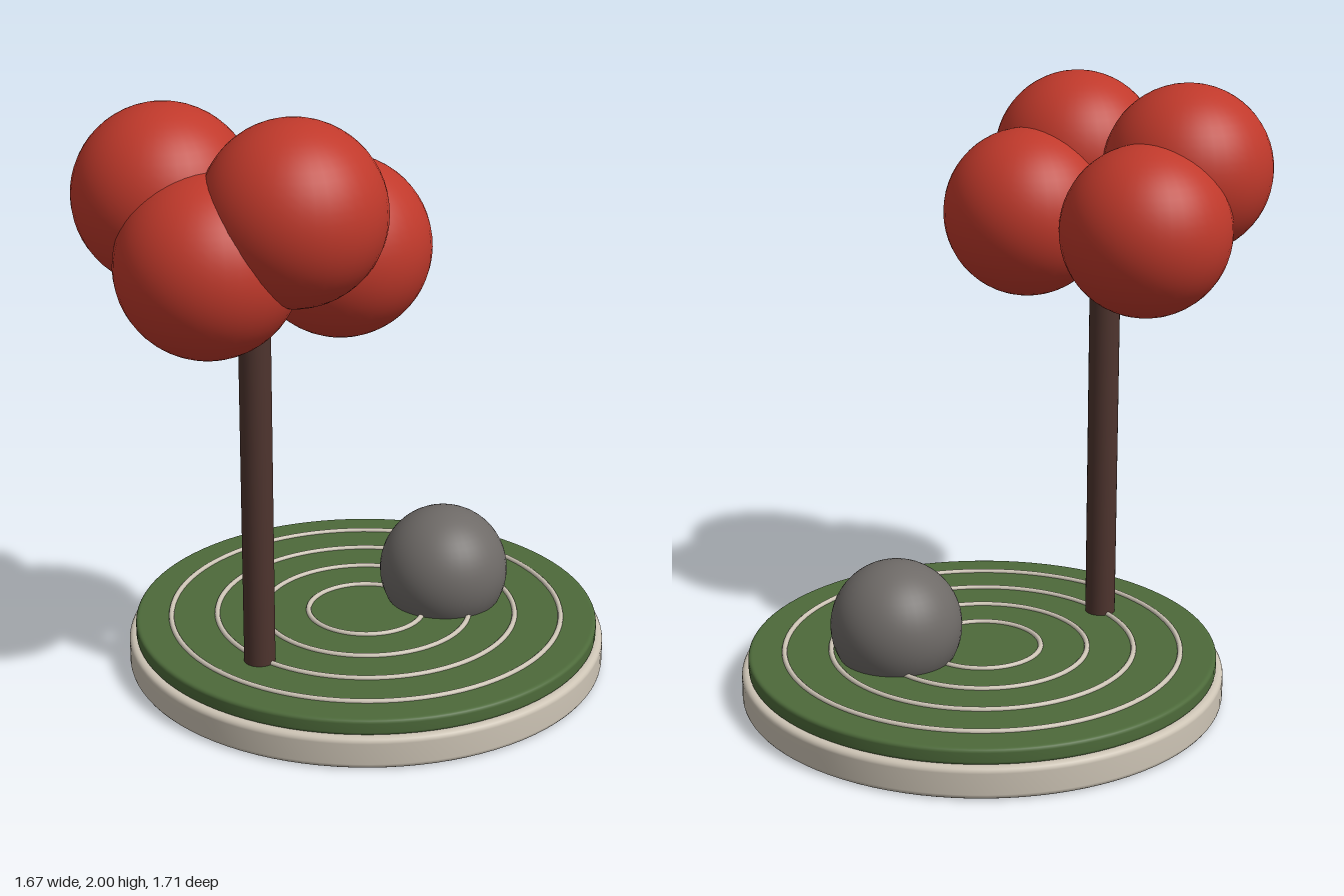
import * as THREE from 'three';

const material = (name, color) => {
  const m = new THREE.MeshStandardMaterial({ color });
  m.name = name;
  return m;
};

export function createModel() {
  const model = new THREE.Group();
  model.name = 'miniatureGarden';
  const stone = material('pale stone', 0xcdc4b5);
  const moss = material('moss green', 0x4d6a3a);
  const bark = material('dark bark', 0x4e342e);
  const leaf = material('red foliage', 0xc0392b);
  const rock = material('grey rock', 0x6e6a67);

  const add = (name, geometry, mat, x, y, z) => {
    const mesh = new THREE.Mesh(geometry, mat);
    mesh.name = name;
    mesh.position.set(x, y, z);
    model.add(mesh);
    return mesh;
  };

  // Round plate with softly rounded rims; extra points keep the faces flat
  const plate = (radius, height, round) => {
    const points = [[0, 0], [radius - round - 0.004, 0]];
    for (let i = 0; i <= 4; i++) {
      const a = (i / 4) * Math.PI / 2;
      points.push([radius - round + Math.sin(a) * round, round - Math.cos(a) * round]);
    }
    for (let i = 0; i <= 4; i++) {
      const a = (i / 4) * Math.PI / 2;
      points.push([radius - round + Math.cos(a) * round, height - round + Math.sin(a) * round]);
    }
    points.push([radius - round - 0.004, height], [0, height]);
    return new THREE.LatheGeometry(points.map(([x, y]) => new THREE.Vector2(x, y)), 96);
  };

  // Tray and moss bed
  const cx = 0.03, cz = -0.053;
  add('tray', plate(0.803, 0.106, 0.018), stone, cx, 0, cz);
  add('mossBed', plate(0.78, 0.054, 0.012), moss, cx, 0.104, cz);

  // Concentric raked rings
  for (let i = 0; i < 4; i++) {
    const ring = add('rakedRing' + (i + 1), new THREE.TorusGeometry(0.195 + i * 0.155, 0.009, 10, 96), stone, cx, 0.16, cz);
    ring.rotation.x = Math.PI / 2;
  }

  // Rock
  add('rock', new THREE.SphereGeometry(0.218, 40, 28), rock, 0.29, 0.262, -0.184);

  // Tree trunk
  add('trunk', new THREE.CylinderGeometry(0.051, 0.051, 1.35, 28), bark, -0.295, 0.81, 0.338);

  // Foliage: three low clumps and two high ones
  [
    [-0.463, 1.56, 0.137], [-0.405, 1.56, 0.573], [-0.03, 1.56, 0.335],
    [-0.557, 1.72, 0.37], [-0.151, 1.72, 0.56],
  ].forEach(([x, y, z], i) => {
    add('foliage' + (i + 1), new THREE.SphereGeometry(0.279, 40, 28), leaf, x, y, z);
  });

  return model;
}
